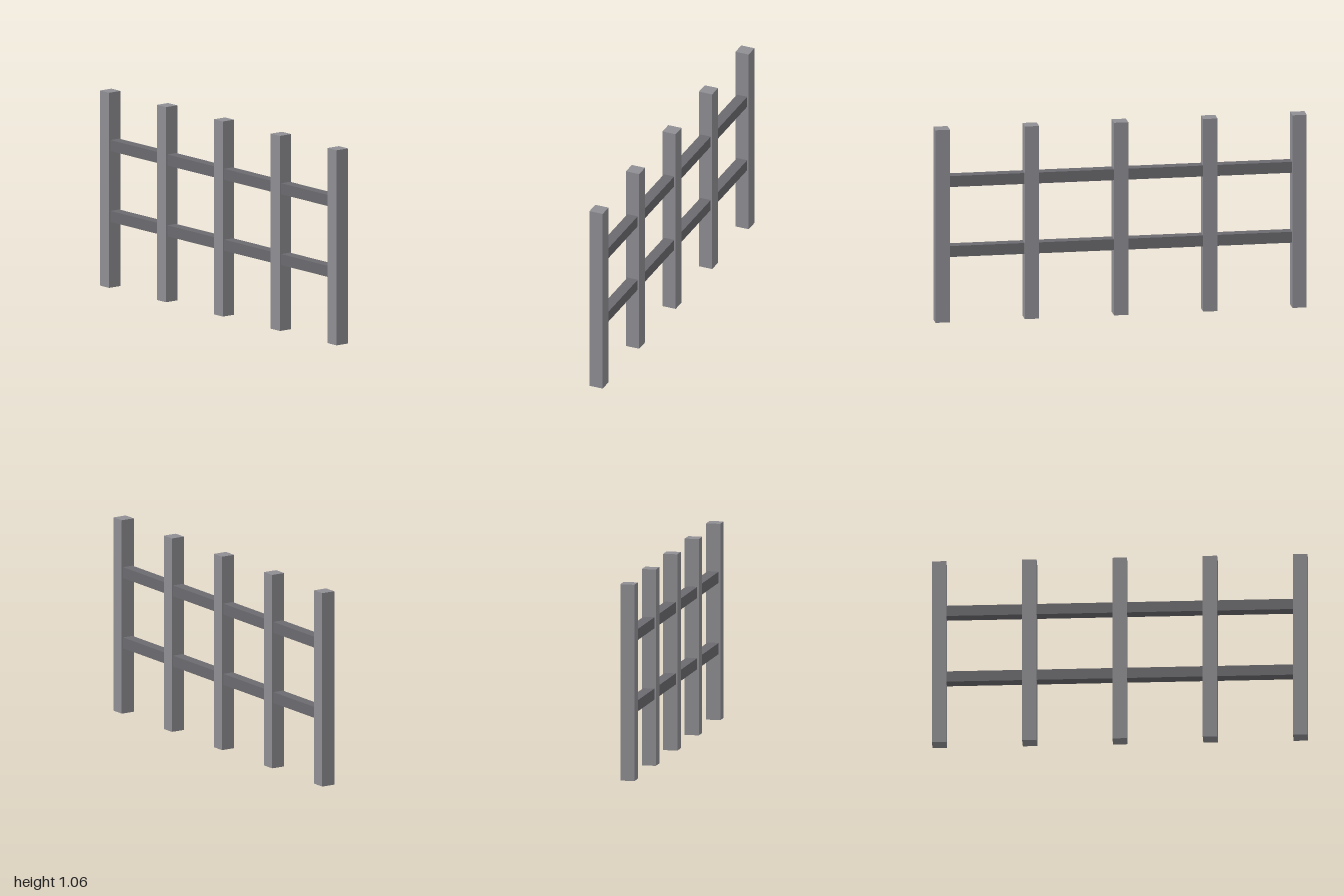
import * as THREE from 'three';

const POST = { size: 0.077, height: 1.06, count: 5 };
const RAIL = { size: 0.06, heights: [0.387, 0.772] };

export function createModel() {
  const fence = new THREE.Group();
  fence.name = 'fence';
  const postMaterial = new THREE.MeshStandardMaterial({ color: 0x8f8e93 });
  const railMaterial = new THREE.MeshStandardMaterial({ color: 0x6b6a6f });

  // Evenly spaced square posts
  const span = 2 - POST.size;
  const pitch = span / (POST.count - 1);
  const postGeometry = new THREE.BoxGeometry(POST.size, POST.height, POST.size);
  for (let i = 0; i < POST.count; i++) {
    const post = new THREE.Mesh(postGeometry, postMaterial);
    post.name = `post${i + 1}`;
    post.position.set(-span / 2 + i * pitch, POST.height / 2, 0);
    fence.add(post);
  }

  // Two thinner rails running through the posts, ending inside the outer ones
  const railGeometry = new THREE.BoxGeometry(span, RAIL.size, RAIL.size);
  RAIL.heights.forEach((y, i) => {
    const rail = new THREE.Mesh(railGeometry, railMaterial);
    rail.name = i === 0 ? 'lowerRail' : 'upperRail';
    rail.position.y = y;
    fence.add(rail);
  });

  return fence;
}
